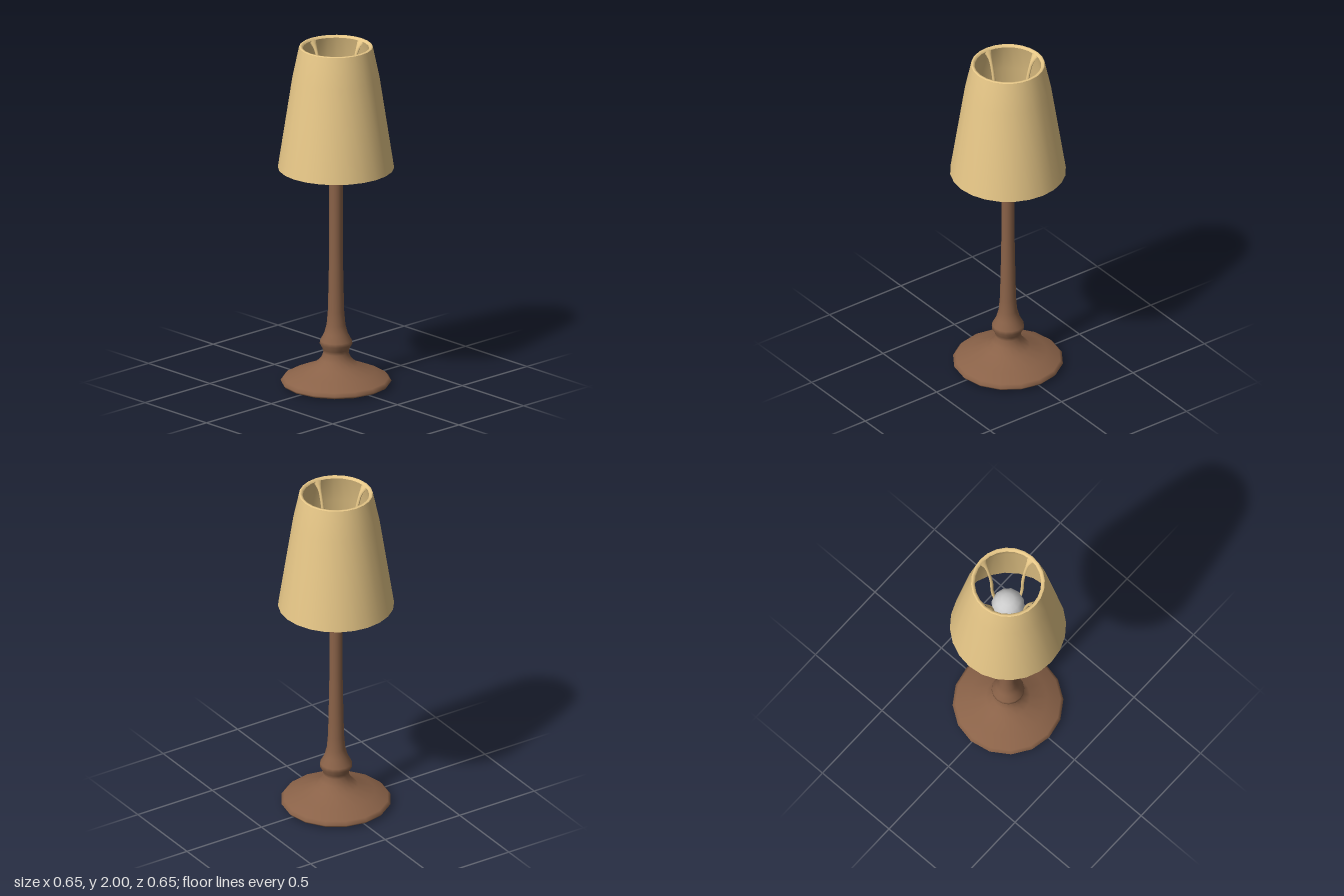
import * as THREE from 'three';

const wood = new THREE.MeshStandardMaterial({ color: 0x8a6248 });
const fabric = new THREE.MeshStandardMaterial({ color: 0xe8c888 });
const glass = new THREE.MeshStandardMaterial({ color: 0xcccccc });

// Lathe from [radius, height] pairs; running upwards faces outwards.
function turned(name, profile, sides, material) {
  const points = profile.map(([r, y]) => new THREE.Vector2(r, y));
  const mesh = new THREE.Mesh(new THREE.LatheGeometry(points, sides), material);
  mesh.name = name;
  return mesh;
}

// Wire arm in the xy plane, flaring sideways where it meets the rim.
function armGeometry() {
  const path = new THREE.CatmullRomCurve3([
    [0.193, 1.988], [0.165, 1.94], [0.14, 1.86], [0.124, 1.76], [0.116, 1.62], [0.085, 1.53], [0.02, 1.49],
  ].map(([x, y]) => new THREE.Vector3(x, y, 0)));
  const geometry = new THREE.TubeGeometry(path, 24, 0.009, 8);
  const position = geometry.attributes.position;
  for (let i = 0; i < position.count; i++) {
    const t = THREE.MathUtils.clamp((position.getY(i) - 1.92) / 0.07, 0, 1);
    position.setZ(i, position.getZ(i) * (1 + 2.2 * t * t));
  }
  geometry.computeVertexNormals();
  return geometry;
}

export function createModel() {
  const lamp = new THREE.Group();
  lamp.name = 'tableLamp';

  // Turned foot, collar and tapering stem
  lamp.add(turned('baseUnderside', [[0, 0.004], [0.2, 0.004]], 16, wood));
  lamp.add(turned('baseAndStem', [
    [0.2, 0.004], [0.28, 0.009], [0.303, 0.018], [0.311, 0.03], [0.295, 0.048],
    [0.22, 0.082], [0.125, 0.123], [0.088, 0.158], [0.071, 0.195], [0.075, 0.217],
    [0.092, 0.248], [0.089, 0.268], [0.066, 0.312], [0.053, 0.36], [0.046, 0.44],
    [0.042, 0.6], [0.038, 0.82], [0.038, 1.5],
  ], 16, wood));

  // Socket and bulb
  lamp.add(turned('socket', [[0.038, 1.48], [0.046, 1.49], [0.046, 1.54], [0.03, 1.55]], 12, wood));
  const bulb = new THREE.Mesh(new THREE.SphereGeometry(0.094, 12, 8), glass);
  bulb.name = 'bulb';
  bulb.position.y = 1.63;
  lamp.add(bulb);

  // Hollow shade: outer wall, top rim, inner wall, bottom lip
  const shade = new THREE.Group();
  shade.name = 'shade';
  shade.add(
    turned('outerWall', [[0.326, 1.286], [0.244, 1.82], [0.207, 1.996]], 24, fabric),
    turned('topRim', [[0.207, 1.996], [0.202, 2], [0.192, 1.998], [0.186, 1.988]], 24, fabric),
    turned('innerWall', [[0.186, 1.988], [0.234, 1.82], [0.316, 1.286]], 24, fabric),
    turned('bottomLip', [[0.316, 1.286], [0.326, 1.286]], 24, fabric),
  );
  lamp.add(shade);

  // Four arms carrying the shade
  const geometry = armGeometry();
  for (let i = 0; i < 4; i++) {
    const arm = new THREE.Mesh(geometry, fabric);
    arm.name = 'shadeArm';
    arm.rotation.y = (i * Math.PI) / 2;
    lamp.add(arm);
  }
  return lamp;
}
